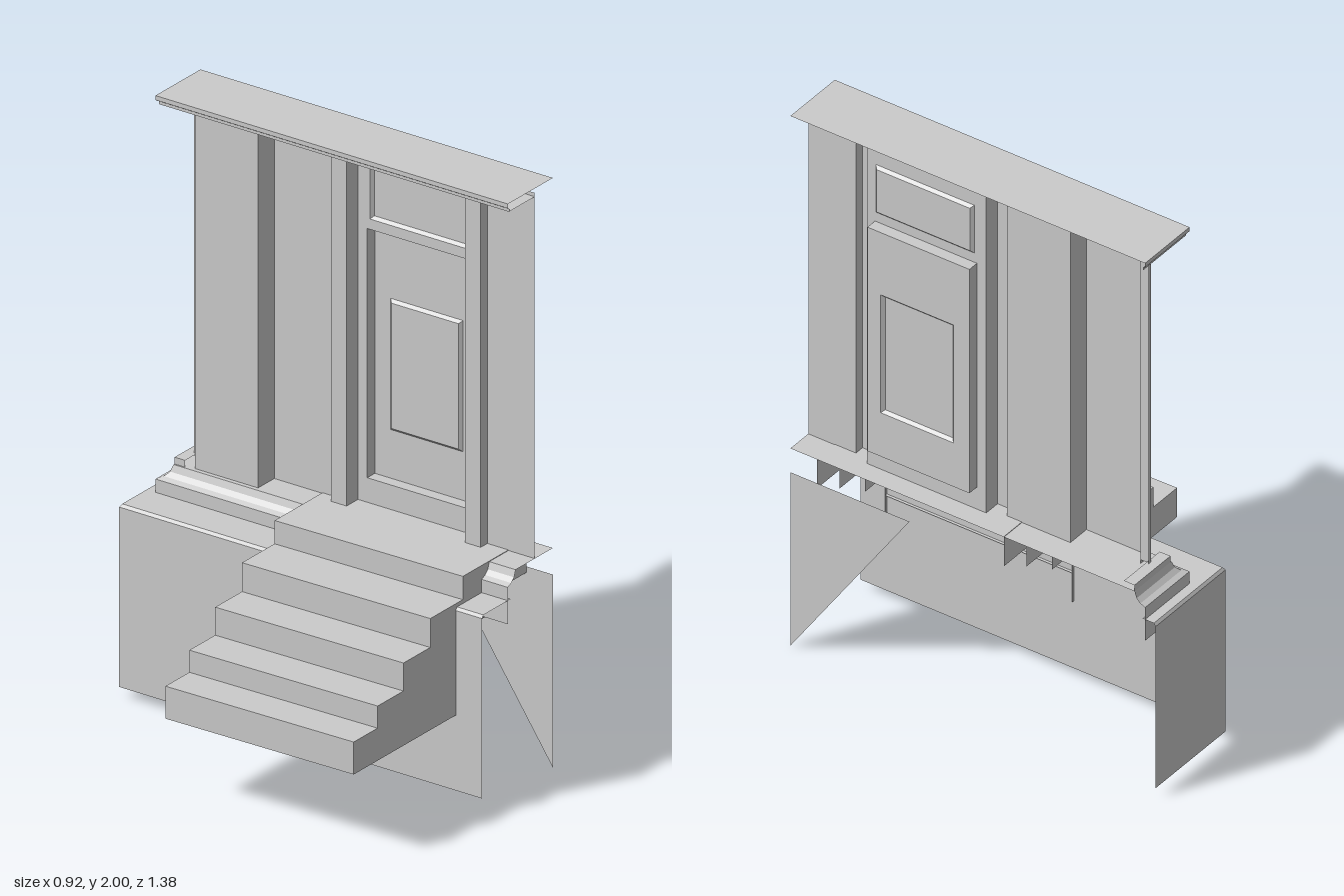
import * as THREE from 'three';

const mat = new THREE.MeshStandardMaterial({ color: 0xcccccc, side: THREE.DoubleSide, flatShading: true });

// Flat-faced skin between consecutive rows of points
function skin(name, rows) {
  const pos = [];
  for (let i = 0; i + 1 < rows.length; i++) {
    for (let j = 0; j + 1 < rows[i].length; j++) {
      const a = rows[i][j], b = rows[i][j + 1], c = rows[i + 1][j + 1], d = rows[i + 1][j];
      pos.push(...a, ...b, ...c, ...a, ...c, ...d);
    }
  }
  const g = new THREE.BufferGeometry();
  g.setAttribute('position', new THREE.Float32BufferAttribute(pos, 3));
  g.computeVertexNormals();
  const m = new THREE.Mesh(g, mat);
  m.name = name;
  return m;
}

// Vertical sheet following a plan path of [x, z] points
const wall = (name, path, y0, y1) =>
  skin(name, [y0, y1].map(y => path.map(([x, z]) => [x, y, z])));

// Horizontal rectangle
const slab = (name, x0, x1, y, z0, z1) =>
  skin(name, [[[x0, y, z0], [x0, y, z1]], [[x1, y, z0], [x1, y, z1]]]);

// Rectangle outline [z0, z1, y0, y1] as a closed loop at depth x
const loop = ([z0, z1, y0, y1], x) =>
  [[x, y0, z0], [x, y0, z1], [x, y1, z1], [x, y1, z0], [x, y0, z0]];

// Upright panel facing -x, with rectangular openings
function panel(name, x, [z0, z1, y0, y1], holes = []) {
  const trace = (p, [a, b, c, d]) => {
    p.moveTo(a, c); p.lineTo(b, c); p.lineTo(b, d); p.lineTo(a, d); p.closePath();
    return p;
  };
  const s = trace(new THREE.Shape(), [z0, z1, y0, y1]);
  s.holes = holes.map(h => trace(new THREE.Path(), h));
  const m = new THREE.Mesh(new THREE.ShapeGeometry(s).rotateY(-Math.PI / 2).translate(x, 0, 0), mat);
  m.name = name;
  return m;
}

function makeBase() {
  const g = new THREE.Group();
  g.name = 'base';
  g.add(wall('baseWall', [[0.455, -0.69], [0.085, -0.69], [0.085, 0.69]], 0.035, 0.645));
  // Small bevel and ledge around the top
  g.add(skin('baseLedge', [[0, 0.645], [0.007, 0.655], [0.15, 0.655]].map(([o, y]) => {
    const z = -0.69 + Math.min(o, 0.05);
    return [[0.455, y, z], [0.085 + o, y, z], [0.085 + o, y, 0.69]];
  })));
  // Loose triangular sheet on the open side
  g.add(skin('sideTriangle', [
    [[0.455, 0, 0.69], [0.455, 0.655, 0.69]],
    [[0.455, 0, 0.69], [0.455, 0.655, 0.24]],
  ]));
  return g;
}

function makePlinth() {
  const g = new THREE.Group();
  g.name = 'plinth';
  // Straight slab with a cove above, wrapped round the far corner
  const profile = [[0, 0.575], [0, 0.7], [0.018, 0.708], [0.032, 0.722], [0.04, 0.745]];
  g.add(skin('plinthMoulding', profile.map(([o, y]) =>
    [[0.455, y, -0.65 + o], [0.22 + o, y, -0.65 + o], [0.22 + o, y, 0.69]])));
  g.add(slab('floor', 0.26, 0.455, 0.745, -0.61, 0.69));
  // Raised lip at the far end
  g.add(wall('endLip', [[0.455, -0.61], [0.265, -0.61], [0.265, -0.57]], 0.745, 0.768));
  g.add(slab('endLipTop', 0.265, 0.455, 0.768, -0.61, -0.57));
  return g;
}

function makeStairs() {
  const g = new THREE.Group();
  g.name = 'stairs';
  // [front x, back x, bottom y, top y]
  const steps = [
    [-0.46, 0.095, 0.29, 0.4],
    [-0.335, 0.095, 0.4, 0.475],
    [-0.2, 0.2, 0.475, 0.57],
    [-0.06, 0.335, 0.565, 0.668],
    [0.11, 0.455, 0.635, 0.747],
  ];
  const z0 = -0.117, z1 = 0.59, skew = 0.012;
  steps.forEach(([x0, x1, y0, y1], i) => {
    g.add(wall('stepSides' + (i + 1), [[x1, z0], [x0, z0], [x0 + skew, z1], [x1, z1]], y0, y1));
    g.add(skin('tread' + (i + 1), [[[x0, y1, z0], [x0 + skew, y1, z1]], [[x1, y1, z0], [x1, y1, z1]]]));
  });
  return g;
}

function makeFacade() {
  const g = new THREE.Group();
  g.name = 'facade';
  // Corner pilaster with its narrow side strip
  g.add(wall('cornerPilaster', [[0.325, -0.54], [0.275, -0.54], [0.275, -0.3], [0.36, -0.3]], 0.7, 1.985));
  g.add(wall('cornerStrip', [[0.34, -0.58], [0.325, -0.58], [0.325, -0.54]], 0.76, 1.975));
  // Wall and narrow pilasters on both sides of the door
  g.add(wall('rightWall', [[0.36, -0.3], [0.36, -0.06], [0.325, -0.06], [0.325, 0], [0.385, 0]], 0.745, 1.985));
  g.add(wall('leftWall', [[0.385, 0.45], [0.325, 0.45], [0.325, 0.51], [0.36, 0.51], [0.36, 0.69]], 0.745, 1.985));
  return g;
}

function makeDoor() {
  const g = new THREE.Group();
  g.name = 'door';
  const door = [0.035, 0.42, 0.83, 1.675];
  const transom = [0.045, 0.417, 1.71, 1.89];
  const window = [0.095, 0.37, 0.995, 1.44];
  const inset = ([a, b, c, d], t) => [a + t, b - t, c + t, d - t];
  g.add(panel('doorFrame', 0.385, [0, 0.45, 0.745, 2], [door, transom]));
  // Recessed leaf with a moulded inner panel
  g.add(skin('doorReveal', [loop(door, 0.385), loop(door, 0.425)]));
  g.add(panel('doorLeaf', 0.425, door, [window]));
  g.add(skin('windowRim', [loop(window, 0.425), loop(inset(window, 0.01), 0.415)]));
  g.add(panel('windowPanel', 0.415, inset(window, 0.01)));
  // Shallow panel over the door
  g.add(skin('transomRim', [loop(transom, 0.385), loop(inset(transom, 0.01), 0.395)]));
  g.add(panel('transomPanel', 0.395, inset(transom, 0.01)));
  return g;
}

function makeCornice() {
  const g = new THREE.Group();
  g.name = 'cornice';
  g.add(skin('corniceEdge', [[0.008, 1.97], [0.008, 1.98], [0, 1.985], [0, 2]].map(([o, y]) =>
    [[0.455, y, -0.65 + o], [0.22 + o, y, -0.65 + o], [0.22 + o, y, 0.69]])));
  g.add(slab('roof', 0.22, 0.455, 2, -0.65, 0.69));
  g.add(slab('soffit', 0.228, 0.36, 1.972, -0.642, 0.69));
  return g;
}

export function createModel() {
  const model = new THREE.Group();
  model.name = 'entrance';
  model.add(makeBase(), makePlinth(), makeStairs(), makeFacade(), makeDoor(), makeCornice());
  return model;
}
